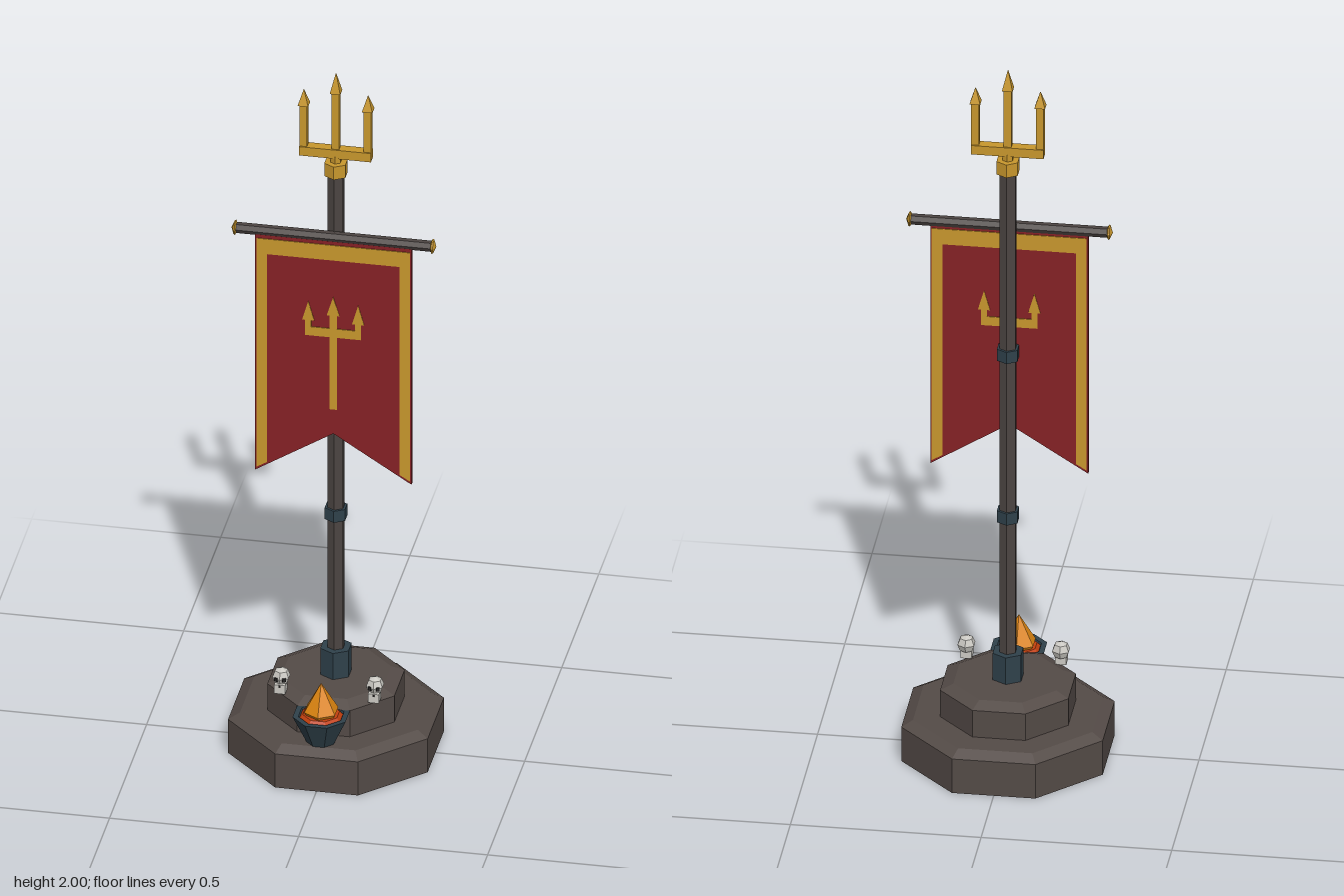
import * as THREE from 'three';

const mat = (name, color) => {
  const m = new THREE.MeshStandardMaterial({ color, flatShading: true });
  m.name = name;
  return m;
};

export function createModel() {
  const stone = mat('stone', 0x544b47);
  const wood = mat('dark wood', 0x4c4542);
  const iron = mat('blue iron', 0x2f414b);
  const gold = mat('gold', 0xc8972d);
  const cloth = mat('red cloth', 0x852125);
  const flameMat = mat('flame orange', 0xdc8410);
  const emberMat = mat('ember red', 0xc2400f);
  const bone = mat('bone', 0xcbc9c3);
  const socketMat = mat('eye black', 0x262424);

  const model = new THREE.Group();
  const AXIS = -0.005; // z of the base and the pole

  const add = (name, geometry, material, x = 0, y = 0, z = 0, parent = model) => {
    const m = new THREE.Mesh(geometry, material);
    m.name = name;
    m.position.set(x, y, z);
    parent.add(m);
    return m;
  };
  // Octagonal solid with flat sides facing the axes; profile is [apothem, y]
  const octagon = (profile) => new THREE.LatheGeometry(
    profile.map(([a, y]) => new THREE.Vector2(a / Math.cos(Math.PI / 8), y)), 8, Math.PI / 8);
  // Hexagonal solid with corners on the z axis; profile is [radius, y]
  const hexagon = (profile) => new THREE.LatheGeometry(
    profile.map(([r, y]) => new THREE.Vector2(r, y)), 6);
  const hexPrism = (name, r, y0, y1, material) =>
    add(name, new THREE.CylinderGeometry(r, r, y1 - y0, 6), material, 0, (y0 + y1) / 2, AXIS);

  // Stepped base with chamfered top edges
  add('lowerStep', octagon([[0, 0], [0.264, 0], [0.264, 0.1], [0.235, 0.117], [0, 0.117]]), stone, 0, 0, AXIS);
  add('upperStep', octagon([[0.168, 0.11], [0.168, 0.195], [0.135, 0.21], [0, 0.21]]), stone, 0, 0, AXIS);

  // Pole and its fittings
  hexPrism('pole', 0.024, 0.2, 1.7, wood);
  hexPrism('poleSocket', 0.043, 0.205, 0.288, iron);
  hexPrism('lowerRing', 0.031, 0.672, 0.706, iron);
  hexPrism('upperRing', 0.031, 1.148, 1.182, iron);
  hexPrism('poleCap', 0.032, 1.697, 1.735, gold);
  hexPrism('tridentNeck', 0.015, 1.73, 1.755, gold);

  // Trident finial
  const trident = new THREE.Group();
  trident.name = 'trident';
  trident.position.z = AXIS;
  model.add(trident);
  add('tridentBar', new THREE.BoxGeometry(0.19, 0.026, 0.028), gold, 0, 1.763, 0, trident);
  for (const [x, neck, tip] of [[-0.085, 1.897, 1.942], [0, 1.942, 2], [0.085, 1.897, 1.942]]) {
    add('prong', new THREE.BoxGeometry(0.02, neck - 1.76, 0.02), gold, x, (neck + 1.76) / 2, 0, trident);
    const head = new THREE.ConeGeometry(0.0198, tip - neck, 4);
    head.rotateY(Math.PI / 4);
    add('prongHead', head, gold, x, (neck + tip) / 2, 0, trident);
  }

  // Crossbar with pointed end caps
  const BANNER_Z = 0.023;
  const bar = new THREE.CylinderGeometry(0.0145, 0.0145, 0.524, 6);
  bar.rotateZ(Math.PI / 2);
  add('crossbar', bar, wood, 0, 1.525, BANNER_Z);
  for (const side of [-1, 1]) {
    const cap = hexagon([[0, 0.25], [0.02, 0.26], [0.018, 0.264], [0, 0.271]]);
    cap.rotateZ(-side * Math.PI / 2);
    add('crossbarCap', cap, gold, 0, 1.525, BANNER_Z);
  }

  // Banner: outlines are given for the +x half and mirrored
  const mirrored = (half) => new THREE.Shape([
    ...half.map(([x, y]) => new THREE.Vector2(x, y)),
    ...half.filter(([x]) => x > 0).reverse().map(([x, y]) => new THREE.Vector2(-x, y)),
  ]);
  const plate = (name, shape, depth, material, z) => {
    const g = new THREE.ExtrudeGeometry(shape, { depth, bevelEnabled: false });
    g.translate(0, 0, -depth / 2);
    add(name, g, material, 0, 0, z);
  };
  plate('bannerCloth', mirrored([[0, 0.942], [0.207, 0.812], [0.207, 1.515], [0, 1.515]]), 0.014, cloth, BANNER_Z + 0.002);
  const trim = mirrored([[0.175, 1.46], [0.175, 0.839], [0.203, 0.822], [0.203, 1.505]].reverse());
  const emblem = mirrored([
    [0, 1.015], [0.01, 1.015], [0.01, 1.23], [0.074, 1.23], [0.074, 1.275], [0.082, 1.275], [0.066, 1.332],
    [0.05, 1.275], [0.058, 1.275], [0.058, 1.256], [0.01, 1.256], [0.01, 1.295], [0.017, 1.295], [0, 1.35],
  ]);
  for (const side of [-1, 1]) {
    const z = BANNER_Z + 0.002 + side * 0.0075;
    plate('bannerTrim', trim, 0.003, gold, z);
    plate('bannerEmblem', emblem, 0.003, gold, z);
  }

  // Fire bowl in front of the upper step
  const FIRE_Z = 0.195;
  add('fireBowl', octagon([[0, 0.115], [0.035, 0.115], [0.07, 0.195], [0.056, 0.195], [0.05, 0.18]]), iron, 0, 0, FIRE_Z);
  add('embers', octagon([[0.056, 0.186], [0.045, 0.199], [0, 0.2]]), emberMat, 0, 0, FIRE_Z);
  add('flame', hexagon([[0.036, 0.19], [0.047, 0.208], [0, 0.288]]), flameMat, 0, 0, FIRE_Z);

  // Skulls on the step's front corners
  for (const side of [-1, 1]) {
    const skull = new THREE.Group();
    skull.name = 'skull';
    skull.position.set(side * 0.124, 0, 0.1);
    model.add(skull);
    const dome = new THREE.SphereGeometry(0.025, 6, 4);
    dome.rotateY(Math.PI / 2);
    add('cranium', dome, bone, 0, 0.243, 0, skull);
    add('jaw', new THREE.BoxGeometry(0.029, 0.026, 0.03), bone, 0, 0.215, 0.009, skull);
    for (const eye of [-1, 1]) {
      const socket = add('eyeSocket', new THREE.BoxGeometry(0.009, 0.01, 0.006), socketMat, eye * 0.01, 0.241, 0.018, skull);
      socket.rotation.y = eye * Math.PI / 6;
    }
    add('noseHole', new THREE.BoxGeometry(0.005, 0.006, 0.004), socketMat, 0, 0.224, 0.0235, skull);
  }

  return model;
}
